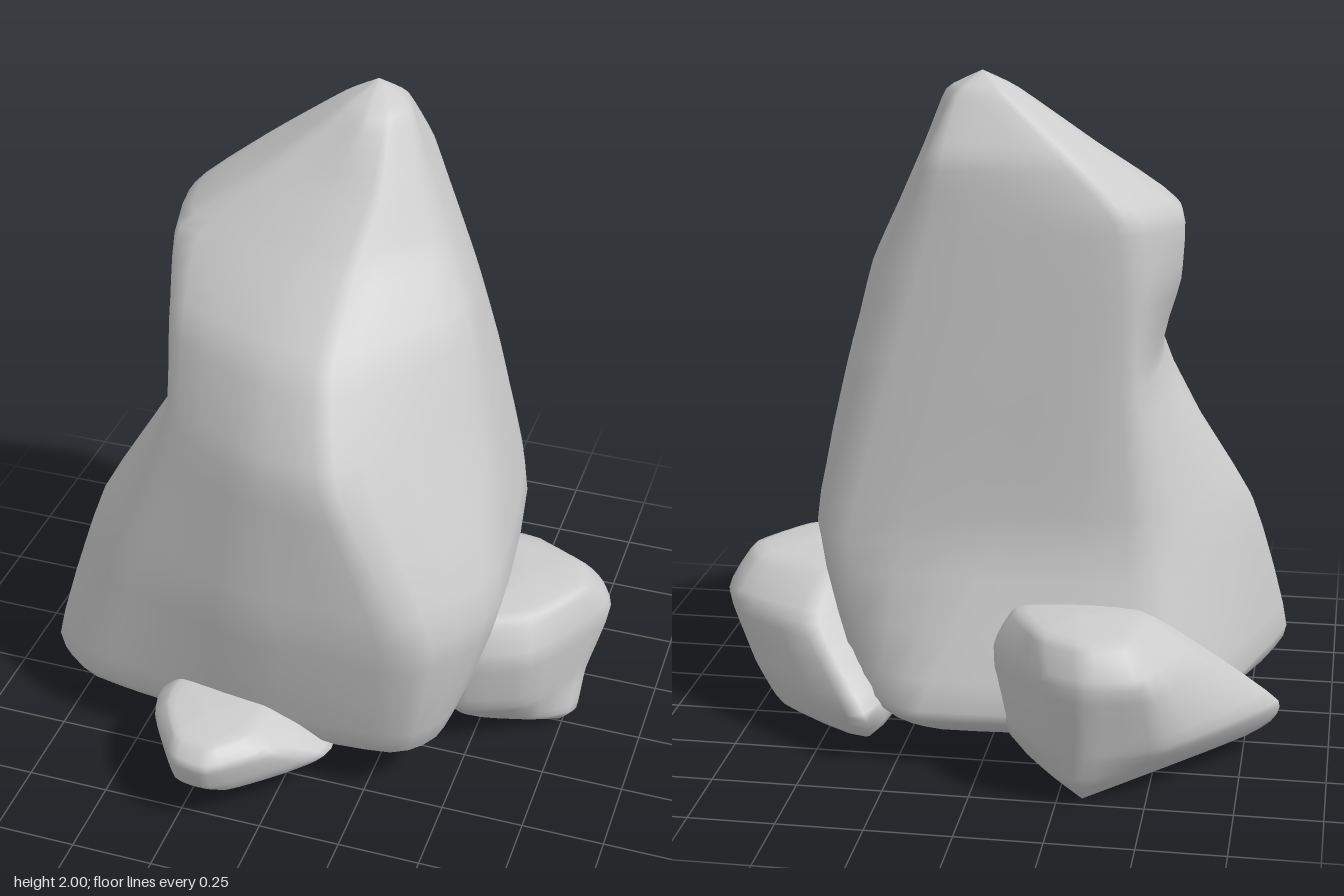
import * as THREE from 'three';
import { mergeVertices } from 'three/addons/utils/BufferGeometryUtils.js';

const V = (x, y, z) => new THREE.Vector3(x, y, z);
const TENSION = 0.25; // low value keeps the worn ridges fairly crisp

// Lofts a smooth stone through level outlines, listed bottom to top.
// Each level is [y, [x, z, x, z, ...]] with corners running front, right, back, left.
function stone(bottom, levels, top) {
  const corners = levels[0][1].length / 2;
  const rows = (levels.length + 1) * 4;
  const cols = corners * 4;
  const ridges = [];
  for (let c = 0; c < corners; c++) {
    const pts = levels.map(([y, o]) => V(o[c * 2], y, o[c * 2 + 1]));
    ridges.push(new THREE.CatmullRomCurve3([V(...bottom), ...pts, V(...top)], false, 'catmullrom', TENSION));
  }
  const positions = [];
  const index = [];
  for (let r = 0; r <= rows; r++) {
    const ring = new THREE.CatmullRomCurve3(ridges.map((k) => k.getPoint(r / rows)), true, 'catmullrom', TENSION);
    for (let c = 0; c < cols; c++) {
      positions.push(...ring.getPoint(c / cols).toArray());
      if (r === rows) continue;
      const a = r * cols + c;
      const b = r * cols + (c + 1) % cols;
      if (r > 0) index.push(a, b, b + cols);
      if (r < rows - 1) index.push(a, b + cols, a + cols);
      else index.push(a, b, a + cols);
    }
  }
  const g = new THREE.BufferGeometry();
  g.setAttribute('position', new THREE.Float32BufferAttribute(positions, 3));
  g.setIndex(index);
  const merged = mergeVertices(g, 1e-5);
  merged.computeVertexNormals();
  return merged;
}

export function createModel() {
  const group = new THREE.Group();
  const grey = new THREE.MeshStandardMaterial({ color: 0xcccccc });
  grey.name = 'stoneGrey';
  const add = (name, ...shape) => {
    const mesh = new THREE.Mesh(stone(...shape), grey);
    mesh.name = name;
    group.add(mesh);
  };

  // Tall boulder: steep flat back, sloping front, shoulder on one side
  add('mainBoulder', [-0.15, 0.02, 0], [
    [0.07, [0.2, 0.32, 0.3, 0.2, 0.25, -0.35, 0.1, -0.45, -0.45, -0.38, -0.74, 0.2, -0.52, 0.34, -0.1, 0.36]],
    [0.19, [0.35, 0.51, 0.46, 0.35, 0.38, -0.42, 0.17, -0.61, -0.58, -0.52, -0.85, 0.24, -0.68, 0.44, -0.1, 0.53]],
    [0.65, [0.41, 0.58, 0.6, 0.29, 0.49, -0.43, -0.02, -0.45, -0.5, -0.42, -0.74, 0.1, -0.58, 0.41, -0.1, 0.59]],
    [1.12, [0.19, 0.56, 0.48, 0.1, 0.38, -0.43, -0.16, -0.44, -0.43, -0.4, -0.47, -0.06, -0.42, 0.34, -0.1, 0.53]],
    [1.4, [0.11, 0.39, 0.4, 0, 0.29, -0.43, -0.18, -0.44, -0.42, -0.41, -0.53, -0.2, -0.45, 0.2, -0.12, 0.37]],
    [1.6, [0.1, 0.14, 0.3, -0.1, 0.22, -0.43, -0.16, -0.44, -0.4, -0.41, -0.53, -0.23, -0.47, 0.04, -0.1, 0.14]],
    [1.77, [0.12, -0.03, 0.22, -0.17, 0.16, -0.43, -0.05, -0.43, -0.24, -0.4, -0.32, -0.27, -0.25, -0.05, -0.03, -0.02]],
    [1.94, [0.1, -0.17, 0.14, -0.25, 0.1, -0.35, 0.04, -0.36, -0.04, -0.35, -0.08, -0.29, -0.05, -0.18, 0.03, -0.14]],
  ], [0.03, 2, -0.29]);

  // Squat stone leaning on the left side
  add('sideStone', [0.74, 0, -0.01], [
    [0.05, [0.48, 0.12, 0.66, 0.08, 0.79, -0.02, 0.65, -0.3, 0.35, -0.5, 0.3, 0]],
    [0.17, [0.46, 0.23, 0.67, 0.15, 0.8, -0.08, 0.72, -0.3, 0.33, -0.61, 0.25, 0]],
    [0.37, [0.45, 0.25, 0.68, 0.18, 0.85, -0.13, 0.79, -0.28, 0.5, -0.44, 0.3, 0]],
    [0.49, [0.48, 0.2, 0.66, 0.12, 0.78, -0.07, 0.73, -0.2, 0.5, -0.27, 0.35, 0]],
  ], [0.6, 0.51, -0.05]);

  // Wedge stone behind, tapering to a low tip
  add('backStone', [-0.32, 0, -0.71], [
    [0.07, [-0.5, -0.24, -0.1, -0.47, -0.22, -0.7, -0.32, -0.77, -0.51, -0.64, -0.8, -0.3]],
    [0.17, [-0.6, -0.21, -0.04, -0.48, -0.2, -0.74, -0.34, -0.8, -0.56, -0.7, -0.85, -0.32]],
    [0.38, [-0.35, -0.3, -0.03, -0.52, -0.21, -0.78, -0.34, -0.84, -0.52, -0.79, -0.63, -0.45]],
    [0.49, [-0.3, -0.42, -0.1, -0.5, -0.19, -0.7, -0.32, -0.78, -0.45, -0.73, -0.47, -0.5]],
  ], [-0.28, 0.51, -0.6]);

  // Small flat stone at the front
  add('frontStone', [-0.12, 0.1, 0.62], [
    [0.11, [-0.24, 0.74, -0.1, 0.74, 0.05, 0.6, 0.08, 0.46, -0.25, 0.46, -0.28, 0.6]],
    [0.16, [-0.25, 0.79, -0.13, 0.8, 0.13, 0.58, 0.13, 0.48, -0.37, 0.48, -0.36, 0.62]],
    [0.25, [-0.25, 0.81, -0.13, 0.83, 0.02, 0.69, 0.04, 0.5, -0.38, 0.5, -0.37, 0.64]],
    [0.3, [-0.25, 0.76, -0.14, 0.78, -0.06, 0.69, -0.06, 0.5, -0.32, 0.5, -0.33, 0.62]],
  ], [-0.2, 0.31, 0.65]);

  return group;
}
